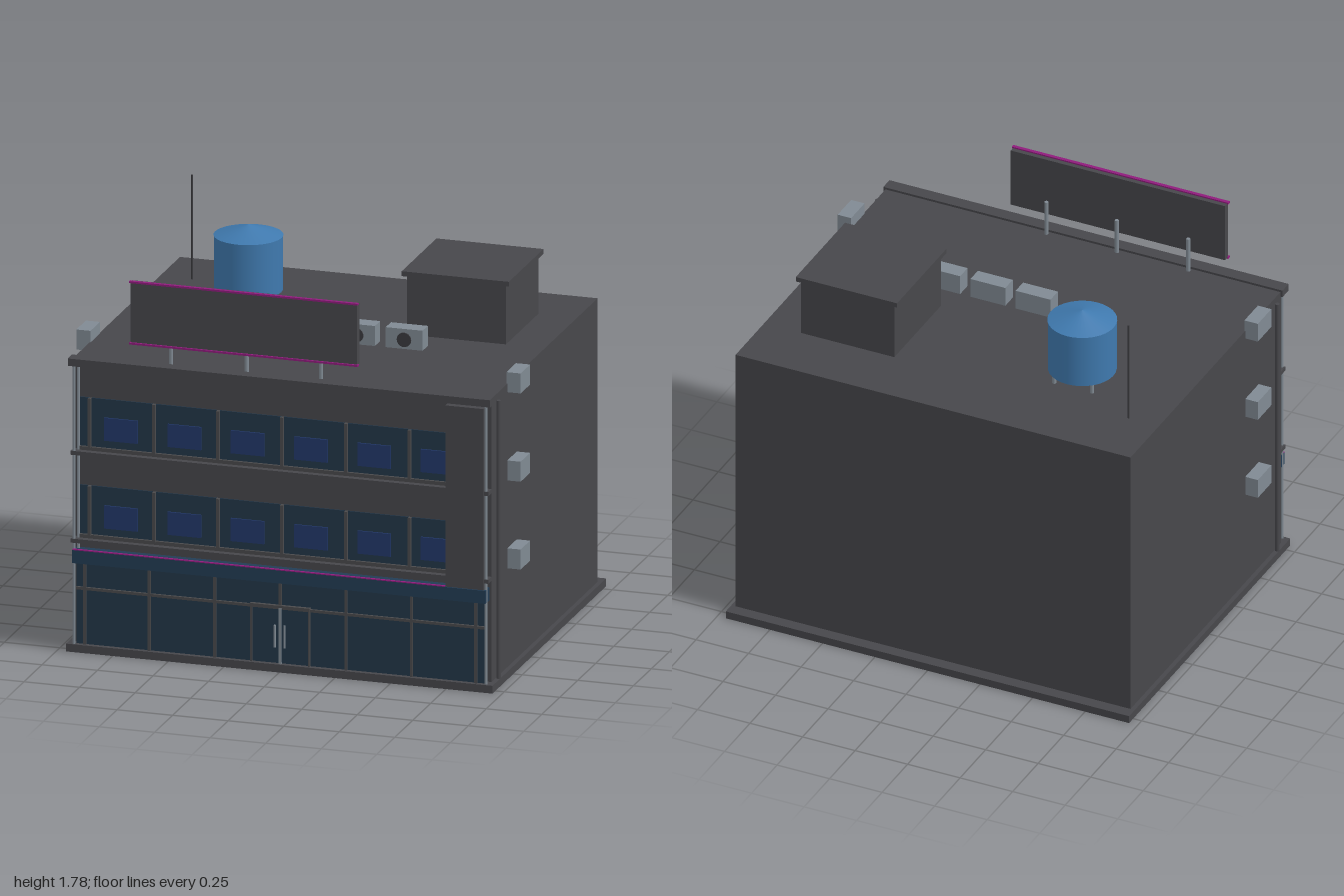
import * as THREE from 'three';

const mat = (name, color, opts = {}) => {
  const m = new THREE.MeshStandardMaterial({ color, ...opts });
  m.name = name;
  return m;
};

export function createModel() {
  const model = new THREE.Group();
  model.name = 'officeBuilding';
  const concrete = mat('concrete', 0x47474b);
  const frame = mat('frameGrey', 0x4a4a4c);
  const metal = mat('lightMetal', 0x808a93);
  const glass = mat('darkGlass', 0x223648);
  const fascia = mat('fasciaBlue', 0x223c54);
  const blind = mat('windowBlue', 0x22386a);
  const tankBlue = mat('tankBlue', 0x3f79ae);
  const magenta = mat('magentaTrim', 0x8f1c7c);
  const dark = mat('fanDark', 0x3a3a3e);

  const add = (name, geo, material, parent = model) => {
    const mesh = new THREE.Mesh(geo, material);
    mesh.name = name;
    parent.add(mesh);
    return mesh;
  };
  // Box given by its extents on each axis
  const box = (name, x0, x1, y0, y1, z0, z1, m, parent) => {
    const mesh = add(name, new THREE.BoxGeometry(x1 - x0, y1 - y0, z1 - z0), m, parent);
    mesh.position.set((x0 + x1) / 2, (y0 + y1) / 2, (z0 + z1) / 2);
    return mesh;
  };
  // Upright rod
  const rod = (name, x, z, y0, y1, r, m, parent) => {
    const mesh = add(name, new THREE.CylinderGeometry(r, r, y1 - y0, 10), m, parent);
    mesh.position.set(x, (y0 + y1) / 2, z);
    return mesh;
  };
  const group = (name) => {
    const g = new THREE.Group();
    g.name = name;
    model.add(g);
    return g;
  };

  // Main volume
  box('plinth', -0.96, 0.96, 0, 0.035, -0.79, 0.79, concrete);
  box('body', -0.94, 0.94, 0.035, 1.31, -0.735, 0.74, concrete);
  box('cornice', -0.95, 0.95, 1.287, 1.32, 0.735, 0.795, concrete);

  // Ground floor shopfront
  const shop = group('shopfront');
  box('shopGlass', -0.92, 0.92, 0.035, 0.4, 0.74, 0.768, glass, shop);
  box('transom', -0.92, 0.92, 0.28, 0.292, 0.76, 0.778, frame, shop);
  for (const x of [-0.88, -0.59, -0.295, 0.295, 0.59, 0.88])
    box('shopMullion', x - 0.006, x + 0.006, 0.035, 0.4, 0.76, 0.778, frame, shop);
  box('upperCentreMullion', -0.006, 0.006, 0.292, 0.4, 0.76, 0.778, frame, shop);
  box('fascia', -0.93, 0.93, 0.402, 0.46, 0.735, 0.795, fascia, shop);
  box('fasciaTrim', -0.93, 0.745, 0.46, 0.464, 0.782, 0.794, magenta, shop);

  // Double entrance door
  const door = group('entrance');
  box('doorTop', -0.135, 0.135, 0.288, 0.298, 0.765, 0.784, frame, door);
  box('doorMeeting', -0.006, 0.006, 0.035, 0.295, 0.765, 0.782, metal, door);
  for (const s of [-1, 1]) {
    box('doorLeaf', s * 0.066 - 0.06, s * 0.066 + 0.06, 0.04, 0.288, 0.766, 0.774, glass, door);
    box('doorJamb', s * 0.13 - 0.004, s * 0.13 + 0.004, 0.035, 0.295, 0.765, 0.78, frame, door);
    rod('doorHandle', s * 0.022, 0.784, 0.11, 0.21, 0.005, metal, door);
  }

  // Two upper floors of ribbon windows
  for (const y of [0.52, 0.915]) {
    const floor = group('windowRow');
    box('ribbonGlass', -0.91, 0.75, y, y + 0.222, 0.735, 0.746, glass, floor);
    box('sill', -0.94, 0.94, y - 0.03, y - 0.012, 0.735, 0.785, concrete, floor);
    box('windowBottomRail', -0.91, 0.75, y - 0.012, y + 0.004, 0.735, 0.758, frame, floor);
    for (const x of [-0.865, -0.575, -0.288, 0, 0.288, 0.575])
      box('windowMullion', x - 0.007, x + 0.007, y, y + 0.222, 0.74, 0.76, frame, floor);
    for (let i = 0; i < 6; i++) {
      const x = -0.725 + i * 0.285;
      box('windowPanel', x - 0.075, Math.min(x + 0.075, 0.748), y + 0.037, y + 0.14, 0.74, 0.753, blind, floor);
    }
  }
  box('facadePanel', 0.747, 0.92, 0.46, 1.275, 0.735, 0.788, concrete);

  // Corner rods, downpipes and wall-mounted coolers on both sides
  for (const s of [-1, 1]) {
    rod('cornerRod', s * 0.927, 0.778, 0.035, 1.287, 0.006, metal);
    rod('innerCornerRod', s * 0.915, 0.755, 0.035, 1.287, 0.006, metal);
    rod('downpipe', s * 0.952, 0.68, 0.035, 1.285, 0.01, concrete);
    for (const y of [0.48, 0.875, 1.272])
      box('wallCooler', s * 0.968 - 0.032, s * 0.968 + 0.032, y, y + 0.09, 0.39, 0.522, metal);
  }

  // Rooftop stair house
  box('stairHouse', 0.32, 0.765, 1.31, 1.577, -0.455, 0, concrete);
  box('stairHouseRoof', 0.3, 0.782, 1.575, 1.597, -0.47, 0.013, concrete);

  // Water tank on four legs
  const tank = group('waterTank');
  tank.position.set(-0.475, 0, -0.25);
  add('tankBody', new THREE.CylinderGeometry(0.148, 0.148, 0.245, 32), tankBlue, tank).position.y = 1.4825;
  add('tankLid', new THREE.ConeGeometry(0.15, 0.048, 32), tankBlue, tank).position.y = 1.629;
  for (const x of [-0.09, 0.09])
    for (const z of [-0.09, 0.09]) rod('tankLeg', x, z, 1.31, 1.365, 0.009, metal, tank);

  // Roof coolers with round fans
  for (const x of [-0.06, 0.155, 0.37]) {
    const cooler = group('roofCooler');
    box('coolerBox', x - 0.083, x + 0.083, 1.31, 1.4, 0.122, 0.195, metal, cooler);
    const fan = add('coolerFan', new THREE.CylinderGeometry(0.032, 0.032, 0.008, 20), dark, cooler);
    fan.rotation.x = Math.PI / 2;
    fan.position.set(x, 1.352, 0.197);
  }

  // Blank billboard on posts
  const board = group('billboard');
  box('boardPanel', -0.68, 0.34, 1.404, 1.678, 0.727, 0.755, concrete, board);
  for (const y of [1.4, 1.676])
    box('boardTrim', -0.685, 0.345, y, y + 0.008, 0.748, 0.764, magenta, board);
  for (const x of [-0.51, -0.17, 0.165]) rod('boardPost', x, 0.717, 1.31, 1.472, 0.009, metal, board);

  // Antenna
  rod('antenna', -0.795, -0.455, 1.31, 1.78, 0.004, dark);
  return model;
}
